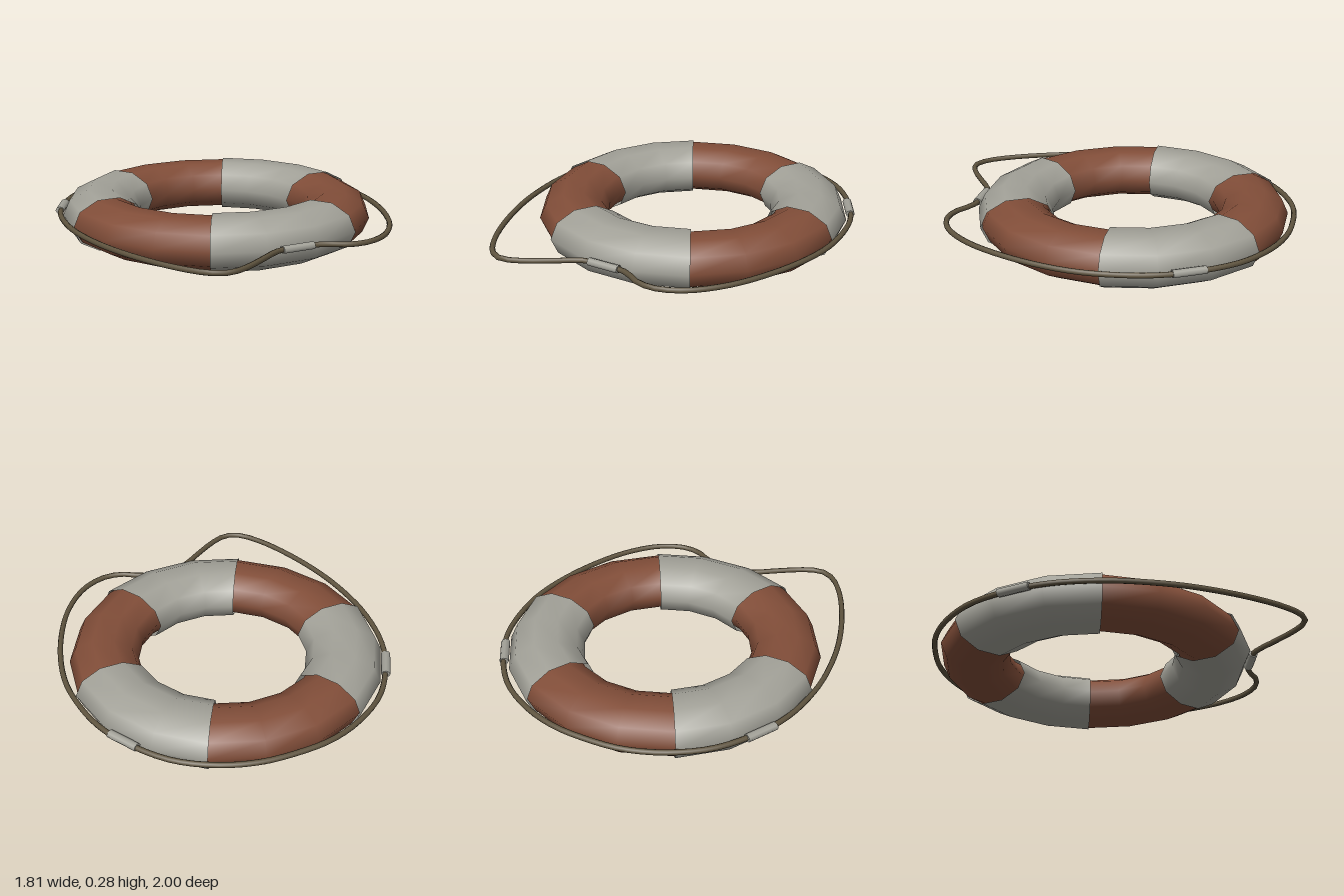
import * as THREE from 'three';

const mat = (name, color, side = THREE.FrontSide) => {
  const m = new THREE.MeshStandardMaterial({ color, side });
  m.name = name;
  return m;
};

// Arc of a flattened ten-sided tube lying flat, angles measured from +x towards +z
function ringArc(major, halfWidth, halfHeight, start, arc, segments) {
  const g = new THREE.TorusGeometry(major, halfWidth, 10, segments, arc);
  g.rotateZ(start);
  g.scale(1, 1, halfHeight / halfWidth);
  g.rotateX(Math.PI / 2);
  return g;
}

export function createModel() {
  const group = new THREE.Group();
  const orange = mat('rust orange', 0x824e39);
  const white = mat('weathered white', 0xa3a299, THREE.DoubleSide);
  const ropeMat = mat('rope brown', 0x5f543f);
  const add = (parent, name, geometry, material) => {
    const mesh = new THREE.Mesh(geometry, material);
    mesh.name = name;
    parent.add(mesh);
    return mesh;
  };

  // Ring, set back a little because the loose rope hangs out in front
  const ring = new THREE.Group();
  ring.name = 'ring';
  ring.position.set(0, 0.14, -0.103);
  group.add(ring);
  add(ring, 'floatRing', ringArc(0.665, 0.19, 0.138, 0, Math.PI * 2, 18), orange);

  // Three sleeves, each with a clip holding the rope
  for (let i = 0; i < 3; i++) {
    const mid = Math.PI / 2 + (i * Math.PI * 2) / 3;
    add(ring, 'sleeve', ringArc(0.659, 0.208, 0.147, mid - Math.PI / 6, Math.PI / 3, 3), white);
    const clipShape = new THREE.CylinderGeometry(0.025, 0.025, 0.18, 8);
    clipShape.rotateZ(Math.PI / 2);
    clipShape.scale(1, 0.84, 1);
    const clip = add(ring, 'ropeClip', clipShape, white);
    clip.position.set(Math.cos(mid) * 0.882, 0.01, Math.sin(mid) * 0.882);
    clip.rotation.y = Math.PI / 2 - mid;
  }

  // Rope: taut round the back, slack in two uneven loops at the front
  const path = [
    [0, 0.777], [0.09, 0.775], [0.16, 0.797], [0.25, 0.85], [0.36, 0.862], [0.5, 0.805],
    [0.65, 0.65], [0.77, 0.43], [0.85, 0.2], [0.886, 0], [0.88, -0.2], [0.845, -0.38],
    [0.77, -0.55], [0.6, -0.775], [0.4, -0.905], [0.2, -0.97], [0, -0.985],
    [-0.2, -0.97], [-0.4, -0.9], [-0.6, -0.765], [-0.76, -0.55], [-0.845, -0.35],
    [-0.886, -0.1], [-0.884, 0.1], [-0.85, 0.34], [-0.77, 0.61], [-0.67, 0.83],
    [-0.58, 0.95], [-0.5, 0.985], [-0.4, 0.955], [-0.25, 0.865], [-0.15, 0.8], [-0.09, 0.775],
  ].map(([x, z]) => new THREE.Vector3(x, 0.15, z));
  const curve = new THREE.CatmullRomCurve3(path, true);
  add(group, 'rope', new THREE.TubeGeometry(curve, 96, 0.015, 8, true), ropeMat);

  return group;
}
